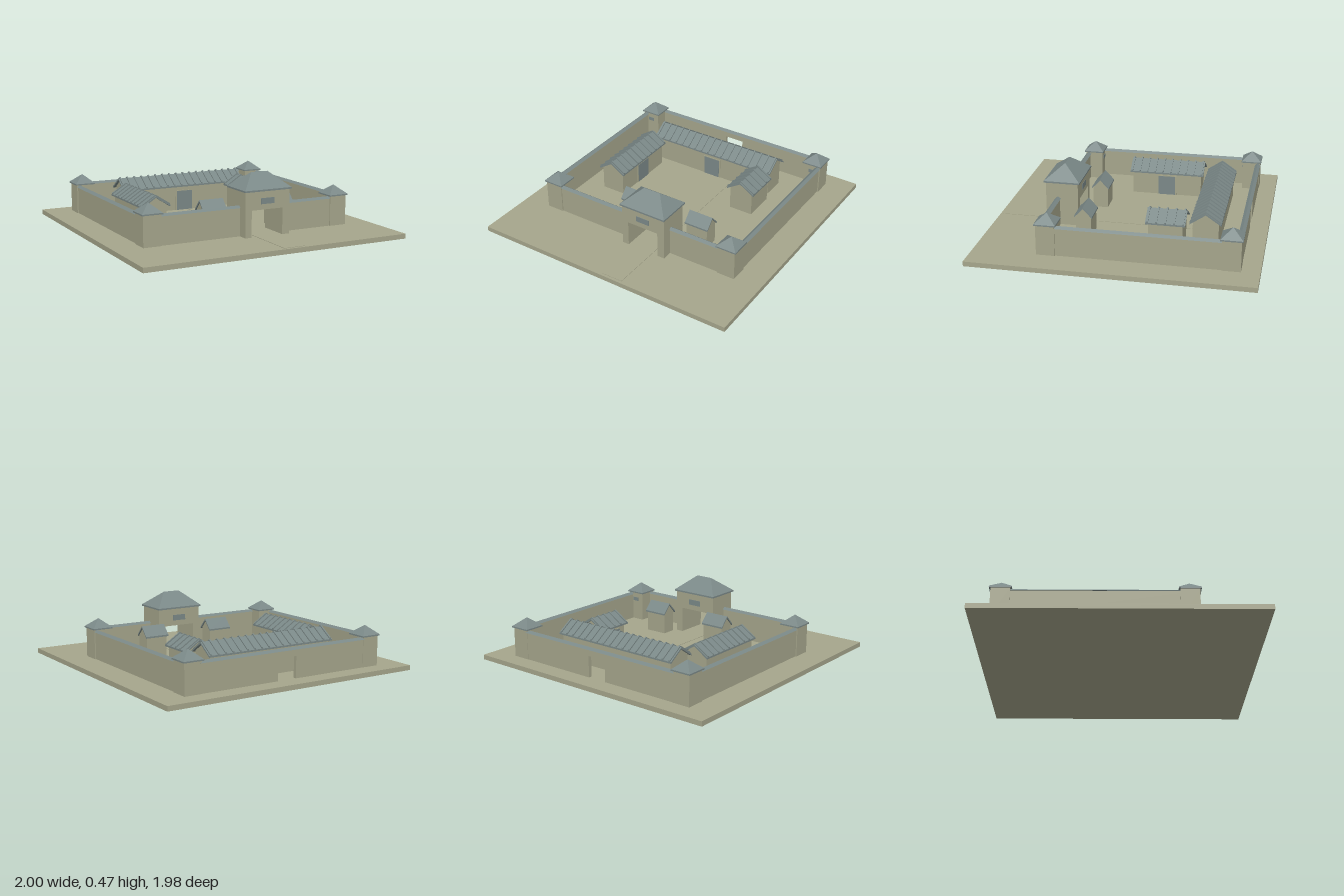
import * as THREE from 'three';

const stone = new THREE.MeshStandardMaterial({ color: 0xa6a68c });
stone.name = 'tan stone';
const slate = new THREE.MeshStandardMaterial({ color: 0x7b8988 });
slate.name = 'blue grey slate';
const G = 0.035; // ground level

function add(parent, name, geo, mat, x = 0, y = 0, z = 0) {
  const m = new THREE.Mesh(geo, mat);
  m.name = name;
  m.position.set(x, y, z);
  parent.add(m);
  return m;
}

// Box given by its limits on each axis
function block(parent, name, mat, x0, x1, y0, y1, z0, z1) {
  return add(parent, name, new THREE.BoxGeometry(x1 - x0, y1 - y0, z1 - z0), mat,
    (x0 + x1) / 2, (y0 + y1) / 2, (z0 + z1) / 2);
}

// Solid hipped, pyramid or ridge cap: a box whose top is pinched to a ridge
function hip(w, h, d, ridgeX, ridgeZ) {
  const g = new THREE.BoxGeometry(w, h, d);
  const p = g.attributes.position;
  for (let i = 0; i < p.count; i++) {
    if (p.getY(i) > 0) {
      p.setX(i, Math.sign(p.getX(i)) * ridgeX / 2);
      p.setZ(i, Math.sign(p.getZ(i)) * ridgeZ / 2);
    }
  }
  g.translate(0, h / 2, 0);
  g.computeVertexNormals();
  return g;
}

// Outline extruded along z, centred
function prism(points, length) {
  const shape = new THREE.Shape(points.map(([x, y]) => new THREE.Vector2(x, y)));
  const g = new THREE.ExtrudeGeometry(shape, { depth: length, bevelEnabled: false });
  return g.translate(0, 0, -length / 2);
}

function chevron(half, rise, t, length) {
  return prism([[-half, -t], [0, rise - t], [half, -t], [half, 0], [0, rise], [-half, 0]], length);
}

// Gabled building, ridge along local z, door on local +x
function building(parent, name, { x, z, turn, span, length, ridge, rise, inset, ribs = 0, door = false }) {
  const b = new THREE.Group();
  b.name = name;
  b.position.set(x, 0, z);
  b.rotation.y = turn;
  parent.add(b);
  const half = span / 2, eave = ridge - rise, wall = half - inset, t = 0.012;
  const wallTop = eave + rise * inset / half - t / 2;
  add(b, 'gabledWalls', prism([[-wall, G], [wall, G], [wall, wallTop], [0, ridge - t / 2], [-wall, wallTop]],
    length - 2 * inset), stone);
  add(b, 'roofSlopes', chevron(half, rise, t, length), slate, 0, eave, 0);
  for (let i = 0; i < ribs; i++) {
    const rz = (i / (ribs - 1) - 0.5) * (length - 0.03);
    add(b, 'roofRib', chevron(half, rise, 0.012, 0.011), slate, 0, eave + 0.01, rz);
  }
  if (door) {
    block(b, 'doorFrame', stone, wall, wall + 0.004, G, 0.19, -0.075, 0.075);
    block(b, 'door', slate, wall, wall + 0.006, G, 0.184, -0.065, 0.065);
  }
}

export function createModel() {
  const model = new THREE.Group();
  model.name = 'walledCourtyard';

  // Ground and entrance path
  block(model, 'ground', stone, -1, 1, 0, G, -0.99, 0.99);
  block(model, 'path', stone, 0.02, 0.18, G, G + 0.003, -0.47, 0.97);

  // Perimeter walls with ridged coping
  const t = 0.013, top = 0.24;
  const coping = (w, d, x, z) =>
    add(model, 'wallCoping', hip(w, 0.016, d, w > d ? w : 0, w > d ? 0 : d), slate, x, 0.236, z);
  for (const s of [-1, 1]) {
    block(model, 'sideWall', stone, s * 0.78 - t, s * 0.78 + t, G, top, -0.84, 0.51);
    coping(0.042, 1.14, s * 0.78, -0.16);
  }
  block(model, 'frontWall', stone, -0.78, -0.06, G, top, 0.515 - t, 0.515 + t);
  block(model, 'frontWall', stone, 0.27, 0.78, G, top, 0.515 - t, 0.515 + t);
  coping(0.60, 0.042, -0.37, 0.515);
  coping(0.40, 0.042, 0.47, 0.515);

  // Rear wall with its gateway
  block(model, 'backWall', stone, -0.78, -0.08, G, top, -0.845 - t, -0.845 + t);
  block(model, 'backWall', stone, 0.07, 0.78, G, top, -0.845 - t, -0.845 + t);
  block(model, 'backGateLintel', stone, -0.08, 0.07, 0.19, top, -0.845 - t, -0.845 + t);
  coping(1.36, 0.042, 0, -0.845);

  // Corner towers, windows facing the courtyard
  for (const x of [-0.735, 0.735]) {
    for (const [z, inward] of [[0.47, -1], [-0.795, 1]]) {
      const tower = new THREE.Group();
      tower.name = 'cornerTower';
      tower.position.set(x, 0, z);
      model.add(tower);
      block(tower, 'towerBody', stone, -0.066, 0.066, G, 0.255, -0.066, 0.066);
      block(tower, 'towerEaves', slate, -0.076, 0.076, 0.252, 0.262, -0.076, 0.076);
      add(tower, 'towerRoof', hip(0.152, 0.063, 0.152, 0, 0), slate, 0, 0.262, 0);
      add(tower, 'towerWindow', new THREE.BoxGeometry(0.05, 0.028, 0.006), slate, 0, 0.2, inward * 0.067);
    }
  }

  // Gatehouse with an open passage
  const gate = new THREE.Group();
  gate.name = 'gatehouse';
  gate.position.set(0.105, 0, 0.485);
  model.add(gate);
  add(gate, 'gateBody', prism([[-0.175, G], [-0.125, G], [-0.125, 0.225], [0.12, 0.225],
    [0.12, G], [0.175, G], [0.175, 0.36], [-0.175, 0.36]], 0.236), stone);
  block(gate, 'gateEaves', slate, -0.185, 0.185, 0.355, 0.367, -0.132, 0.132);
  add(gate, 'gateRoof', hip(0.37, 0.105, 0.264, 0.13, 0), slate, 0, 0.366, 0);
  for (const s of [-1, 1]) {
    add(gate, 'gateWindow', new THREE.BoxGeometry(0.105, 0.042, 0.006), slate, 0, 0.285, s * 0.118);
  }

  // Courtyard halls
  const quarter = -Math.PI / 2;
  building(model, 'rearHall', { x: -0.005, z: -0.585, turn: quarter, span: 0.22, length: 1.03,
    ridge: 0.305, rise: 0.075, inset: 0.02, ribs: 18, door: true });
  building(model, 'rightHall', { x: -0.52, z: -0.165, turn: 0, span: 0.22, length: 0.57,
    ridge: 0.288, rise: 0.07, inset: 0.02, ribs: 10, door: true });
  building(model, 'leftHall', { x: 0.43, z: -0.31, turn: Math.PI, span: 0.22, length: 0.28,
    ridge: 0.288, rise: 0.07, inset: 0.02, ribs: 5, door: true });

  // Guard houses beside the gate
  for (const x of [-0.17, 0.38]) {
    building(model, 'guardHouse', { x, z: 0.285, turn: quarter, span: 0.13, length: 0.187,
      ridge: 0.265, rise: 0.07, inset: 0.01 });
  }
  return model;
}
